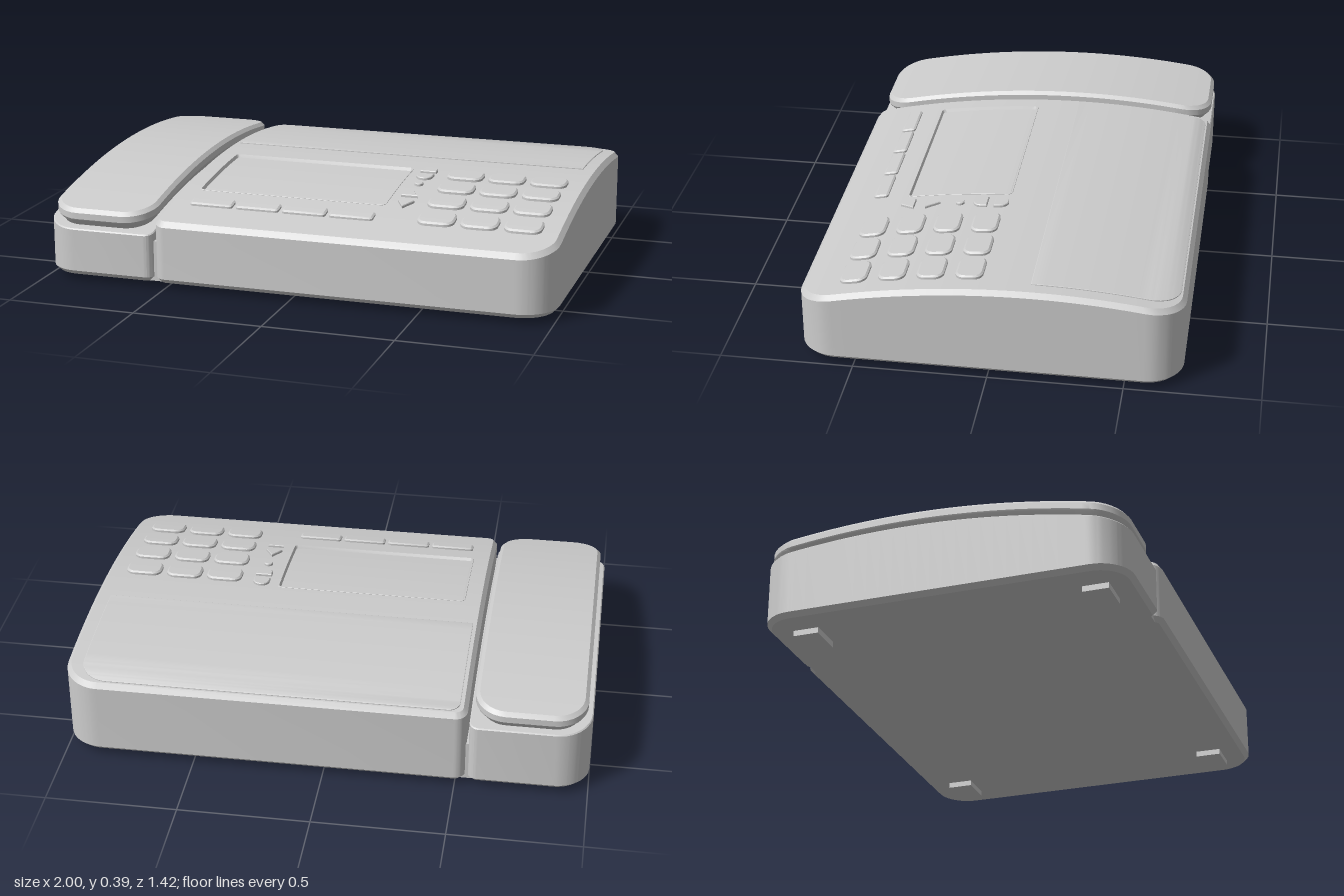
import * as THREE from 'three';
import { toCreasedNormals } from 'three/addons/utils/BufferGeometryUtils.js';

// height of the arched shoulder line along the depth of the phone
const arch = z => 0.358 - 0.148 * (z + 0.15) ** 2;
const TOP = 0.014; // top face above the shoulder line

// Lofts a rounded rectangle through rings [inset, y, followsArch].
// radii: [backLowX, frontLowX, backHighX, frontHighX]
function loft({ x0, x1, z0, z1, radii, rings, hole }) {
  const cz = (z0 + z1) / 2, half = (z1 - z0) / 2;
  const scale = inset => 1 - inset / half;
  const lastScale = scale(rings[rings.length - 1][0]);

  // depth samples: even steps, corner arcs and hole edges
  let zs = [];
  const steps = Math.max(4, Math.ceil(half * 2 / 0.05));
  for (let i = 0; i <= steps; i++) zs.push(z0 + (z1 - z0) * i / steps);
  radii.forEach((r, k) => {
    for (let i = 1; i <= 8; i++) {
      const d = r * (1 - Math.cos(i / 8 * Math.PI / 2));
      zs.push(k % 2 ? z1 - d : z0 + d);
    }
  });
  if (hole) zs.push(cz + (hole.z0 - cz) / lastScale, cz + (hole.z1 - cz) / lastScale);
  zs = zs.sort((a, b) => a - b).filter((z, i, a) => i === 0 || z - a[i - 1] > 1e-5);

  const loops = rings.map(([inset, y, curved]) => {
    const s = scale(inset), h = half * s;
    const edge = (z, k) => {
      const front = z > cz ? 1 : 0;
      const r = Math.max(radii[k + front] - inset, 0.001);
      const d = Math.max(0, h - Math.abs(z - cz));
      return d < r ? r - Math.sqrt(Math.max(0, r * r - (r - d) ** 2)) : 0;
    };
    const low = [], high = [];
    for (const z of zs) {
      const w = cz + (z - cz) * s, v = y + (curved ? arch(w) : 0);
      low.push([x0 + inset + edge(w, 0), v, w]);
      high.push([x1 - inset - edge(w, 2), v, w]);
    }
    return { low, high, all: [...high, ...low.slice().reverse()] };
  });

  const pos = [];
  const quad = (a, b, c, d) => pos.push(...a, ...b, ...c, ...a, ...c, ...d);
  for (let k = 0; k + 1 < loops.length; k++) {
    const A = loops[k].all, B = loops[k + 1].all;
    A.forEach((p, i) => {
      const j = (i + 1) % A.length;
      quad(p, B[i], B[j], A[j]);
    });
  }
  const first = loops[0], last = loops[loops.length - 1];
  for (let i = 0; i + 1 < zs.length; i++) {
    const a = last.low[i], b = last.low[i + 1], c = last.high[i + 1], d = last.high[i];
    const mid = (a[2] + b[2]) / 2;
    if (hole && mid > hole.z0 && mid < hole.z1) {
      const at = (p, x) => [x, p[1], p[2]];
      quad(a, b, at(b, hole.x0), at(a, hole.x0));
      quad(at(d, hole.x1), at(c, hole.x1), c, d);
    } else quad(a, b, c, d);
    quad(first.low[i], first.high[i], first.high[i + 1], first.low[i + 1]);
  }
  const g = new THREE.BufferGeometry();
  g.setAttribute('position', new THREE.Float32BufferAttribute(pos, 3));
  return toCreasedNormals(g, 0.45);
}

export function createModel() {
  const model = new THREE.Group();
  model.name = 'deskPhone';
  const grey = new THREE.MeshStandardMaterial({ color: 0xcccccc });
  grey.name = 'grey plastic';
  const add = (name, geometry) => {
    const mesh = new THREE.Mesh(geometry, grey);
    mesh.name = name;
    model.add(mesh);
    return mesh;
  };

  // main housing with a chamfered rim and an opening for the display
  add('housing', loft({
    x0: -0.54, x1: 1, z0: -0.71, z1: 0.71, radii: [0.045, 0.045, 0.14, 0.14],
    rings: [[0.018, 0.022], [0, 0.04], [0, -0.004, true], [0.016, TOP, true]],
    hole: { x0: -0.455, x1: 0.287, z0: 0.017, z1: 0.418 },
  }));

  // recessed display with a thin lip; its underside is buried in the housing
  add('display', loft({
    x0: -0.462, x1: 0.294, z0: 0.01, z1: 0.425, radii: [0.02, 0.02, 0.02, 0.02],
    rings: [[0, TOP - 0.03, true], [0, TOP + 0.001, true], [0.001, TOP + 0.002, true],
      [0.006, TOP + 0.002, true], [0.012, TOP - 0.01, true]],
  }));

  // rear cover panel
  add('rearCover', loft({
    x0: -0.51, x1: 0.935, z0: -0.688, z1: -0.153, radii: [0.045, 0.004, 0.11, 0.004],
    rings: [[0, TOP - 0.004, true], [0, TOP + 0.003, true], [0.002, TOP + 0.004, true]],
  }));

  // handset cradle and the web joining it to the housing
  add('cradle', loft({
    x0: -1, x1: -0.548, z0: -0.706, z1: 0.706, radii: [0.13, 0.13, 0.035, 0.035],
    rings: [[0.018, 0.022], [0, 0.04], [0, -0.046, true], [0.004, -0.042, true]],
  }));
  add('joiningWeb', new THREE.BoxGeometry(0.06, 0.158, 1.36)).position.set(-0.545, 0.101, 0);

  // handset with an undercut lower edge
  add('handset', loft({
    x0: -0.98, x1: -0.562, z0: -0.7, z1: 0.695, radii: [0.12, 0.12, 0.12, 0.12],
    rings: [[0.03, -0.05, true], [0.02, -0.034, true], [0.003, -0.014, true], [0, -0.008, true],
      [0, 0.016, true], [0.014, 0.029, true]],
  }));

  // raised keys
  const key = (name, x, z, w, d, r, h) => add(name, loft({
    x0: x - w / 2, x1: x + w / 2, z0: z - d / 2, z1: z + d / 2, radii: [r, r, r, r],
    rings: [[0, TOP - 0.004, true], [0, TOP + h * 0.6, true], [0.007, TOP + h, true]],
  }));
  for (const z of [0.077, 0.221, 0.364, 0.507])
    for (const x of [0.519, 0.684, 0.849]) key('dialKey', x, z, 0.142, 0.102, 0.036, 0.014);
  for (let i = 0; i < 4; i++) key('softKey', -0.362 + i * 0.186, 0.532, 0.172, 0.056, 0.012, 0.012);

  // small navigation buttons, drawn as plan shapes pointing to the back
  const button = (name, shape, z, flip) => {
    const g = new THREE.ExtrudeGeometry(shape, {
      depth: 0.011, bevelEnabled: true, bevelThickness: 0.003, bevelSize: 0.003,
      bevelOffset: -0.003, bevelSegments: 1, curveSegments: 12,
    });
    g.rotateX(-Math.PI / 2);
    if (flip) g.rotateY(Math.PI);
    g.translate(0.363, TOP - 0.003, z);
    const p = g.attributes.position;
    for (let i = 0; i < p.count; i++) p.setY(i, p.getY(i) + arch(p.getZ(i)));
    add(name, toCreasedNormals(g, 0.45));
  };
  const dome = new THREE.Shape();
  dome.moveTo(-0.032, -0.027);
  dome.lineTo(0.032, -0.027);
  dome.lineTo(0.032, -0.004);
  dome.absarc(0, -0.004, 0.032, 0, Math.PI, false);
  dome.closePath();
  const dot = new THREE.Shape().absarc(0, 0, 0.017, 0, Math.PI * 2, false);
  const arrow = new THREE.Shape([[-0.033, -0.028], [0.033, -0.028], [0, 0.028]].map(p => new THREE.Vector2(...p)));
  button('upperDomeButton', dome, 0.04, false);
  button('lowerDomeButton', dome, 0.121, true);
  button('roundButton', dot, 0.202, false);
  button('upArrowButton', arrow, 0.307, false);
  button('downArrowButton', arrow, 0.408, true);

  // feet
  for (const x of [-0.812, 0.812])
    for (const z of [-0.557, 0.563])
      add('foot', new THREE.BoxGeometry(0.136, 0.03, 0.1)).position.set(x, 0.015, z);

  return model;
}
